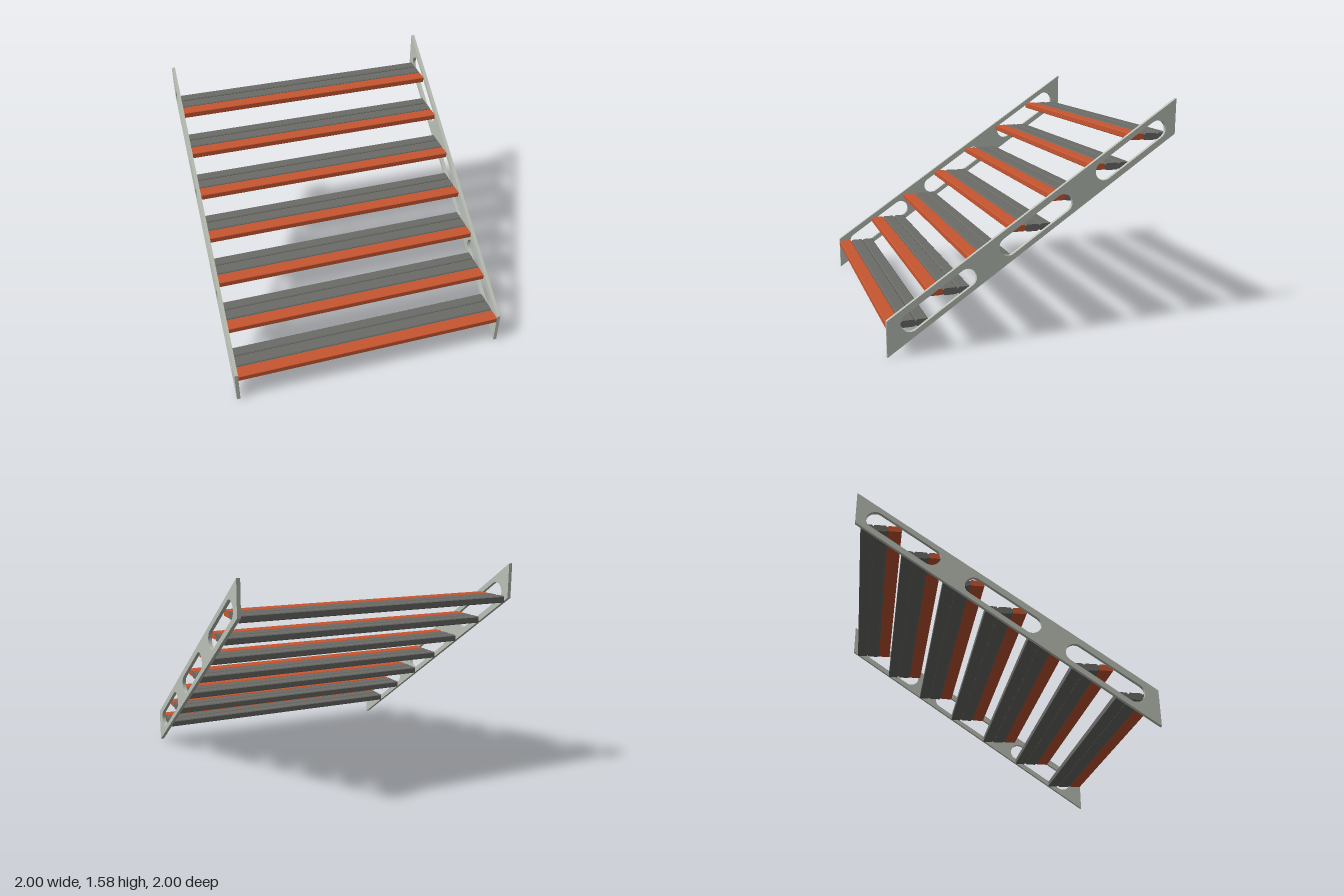
import * as THREE from 'three';

const orange = new THREE.MeshStandardMaterial({ color: 0xc95731 });
orange.name = 'orange nosing';
const gray = new THREE.MeshStandardMaterial({ color: 0x6b6c68 });
gray.name = 'dark gray decking';
const pale = new THREE.MeshStandardMaterial({ color: 0xbac0b6 });
pale.name = 'pale gray metal';

const STEPS = 7, RUN = 0.281, RISE = 0.187;
const INNER = 0.975, THICK = 0.025;
const SLOPE = 1.34 / 2;

// Extrudes a side profile (x = distance towards the back, y = up) along world x
function extrudeAcross(shape, x0, width) {
  const g = new THREE.ExtrudeGeometry(shape, { depth: width, bevelEnabled: false, curveSegments: 10 });
  return g.rotateY(Math.PI / 2).translate(x0, 0, 0);
}

function polygon(points) {
  return new THREE.Shape(points.map(([s, y]) => new THREE.Vector2(s, y)));
}

// Plank outline with small chamfers on all four corners
function plank(s0, s1, y0, y1, c = 0.006) {
  return polygon([
    [s0 + c, y0], [s1 - c, y0], [s1, y0 + c], [s1, y1 - c],
    [s1 - c, y1], [s0 + c, y1], [s0, y1 - c], [s0, y0 + c],
  ]);
}

function addMesh(parent, geometry, material, name) {
  const mesh = new THREE.Mesh(geometry, material);
  mesh.name = name;
  parent.add(mesh);
}

// Sloping side board with three round-ended slots
function stringerShape() {
  const shape = polygon([[-1, 0], [1, 1.34], [1, 1.58], [-1, 0.245]]);
  const angle = Math.atan(SLOPE), r = 0.063, half = 0.23;
  for (const [s, y] of [[-0.656, 0.348], [0.005, 0.79], [0.675, 1.245]]) {
    const dx = Math.cos(angle) * half, dy = Math.sin(angle) * half;
    const hole = new THREE.Path();
    hole.absarc(s + dx, y + dy, r, angle - Math.PI / 2, angle + Math.PI / 2, false);
    hole.absarc(s - dx, y - dy, r, angle + Math.PI / 2, angle + Math.PI * 1.5, false);
    hole.closePath();
    shape.holes.push(hole);
  }
  return shape;
}

export function createModel() {
  const model = new THREE.Group();
  model.name = 'stairs';

  // Side boards
  const side = stringerShape();
  addMesh(model, extrudeAcross(side, INNER, THICK), pale, 'leftStringer');
  addMesh(model, extrudeAcross(side, -INNER - THICK, THICK), pale, 'rightStringer');

  // Tread parts shared by all steps
  const w = 2 * INNER;
  const nosing = extrudeAcross(plank(0, 0.092, 0.186, 0.228, 0.004), -INNER, w);
  const front = extrudeAcross(plank(0.102, 0.189, 0.181, 0.228), -INNER, w);
  const back = extrudeAcross(plank(0.199, 0.277, 0.181, 0.228), -INNER, w);
  // Recessed strips in the grooves between planks
  const groove1 = extrudeAcross(polygon([[0.092, 0.188], [0.102, 0.188], [0.102, 0.219], [0.092, 0.219]]), -INNER, w);
  const groove2 = extrudeAcross(polygon([[0.189, 0.188], [0.199, 0.188], [0.199, 0.219], [0.189, 0.219]]), -INNER, w);

  for (let i = 0; i < STEPS; i++) {
    const tread = new THREE.Group();
    tread.name = 'tread' + (i + 1);
    addMesh(tread, nosing, orange, 'nosing');
    addMesh(tread, front, gray, 'frontPlank');
    addMesh(tread, back, gray, 'backPlank');
    addMesh(tread, groove1, gray, 'frontGroove');
    addMesh(tread, groove2, gray, 'backGroove');
    tread.position.set(0, i * RISE, 1 - i * RUN);
    model.add(tread);
  }
  return model;
}
